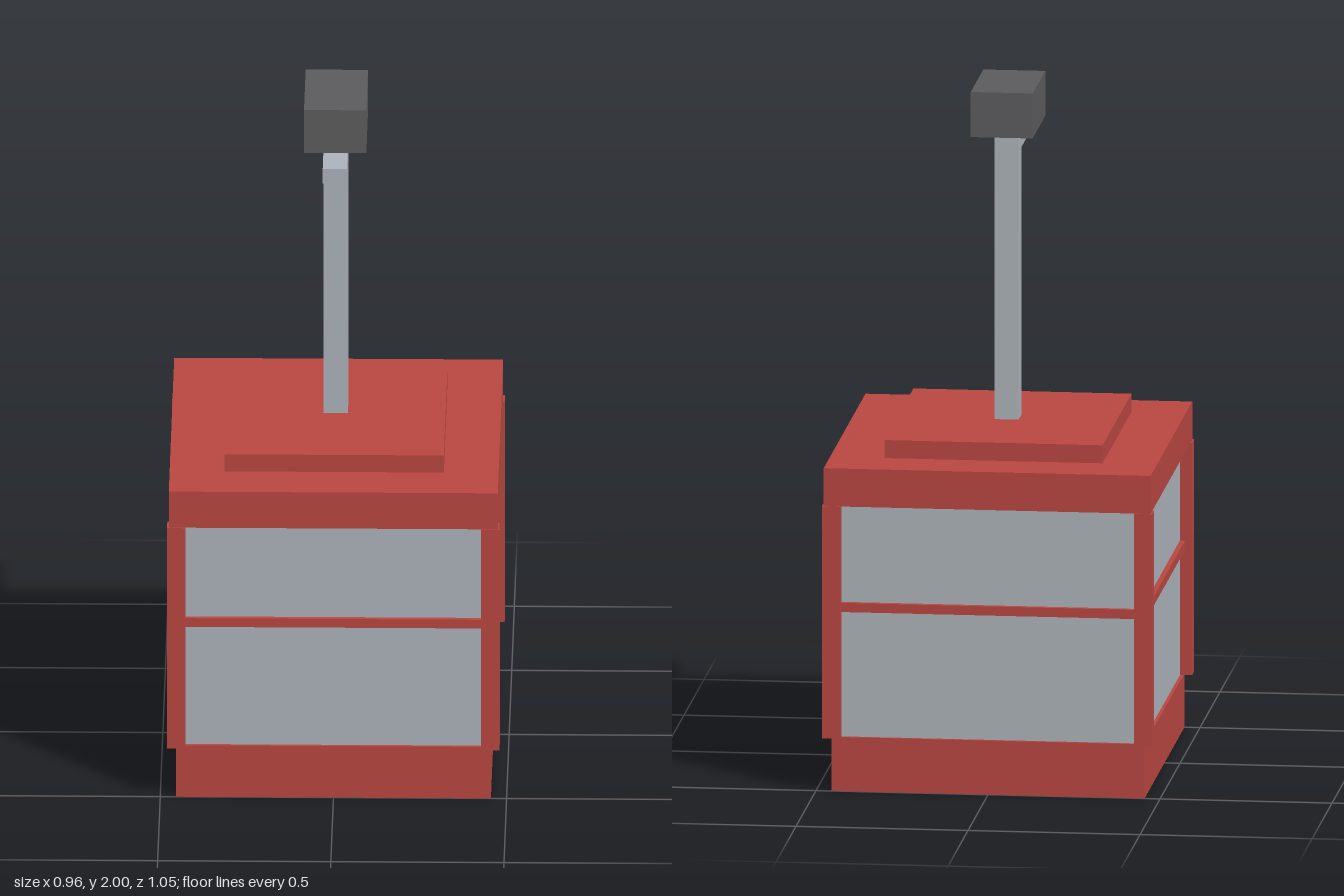
import * as THREE from 'three';

export function createModel() {
  const model = new THREE.Group();
  model.name = 'cableCarCabin';

  const mat = (name, color) => {
    const m = new THREE.MeshStandardMaterial({ color });
    m.name = name;
    return m;
  };
  const red = mat('red paint', 0xb94641);
  const grey = mat('pale grey', 0xacb3ba);
  const dark = mat('dark grey', 0x5c5c5e);

  // Box spanning y0..y1, with width w and depth d, centred on x, z
  const box = (name, material, w, d, y0, y1, x = 0, z = 0) => {
    const mesh = new THREE.Mesh(new THREE.BoxGeometry(w, y1 - y0, d), material);
    mesh.name = name;
    mesh.position.set(x, (y0 + y1) / 2, z);
    model.add(mesh);
    return mesh;
  };

  // Cabin body
  box('base', red, 0.91, 1.0, 0, 0.16);
  box('windows', grey, 0.89, 0.98, 0.16, 0.845);
  box('waistRail', red, 0.92, 1.01, 0.53, 0.557);
  box('roof', red, 0.95, 1.044, 0.845, 0.957);
  box('roofPlate', red, 0.634, 0.724, 0.957, 1.01);

  // Corner posts
  for (const x of [-1, 1]) {
    for (const z of [-1, 1]) {
      box('cornerPost', red, 0.053, 0.053, 0.16, 0.845, x * 0.4535, z * 0.5);
    }
  }

  // Hanger arm and cable grip
  box('hangerPole', grey, 0.07, 0.07, 1.01, 1.8);
  box('hangerArm', grey, 0.07, 0.263, 1.8, 1.845, 0, 0.0965);
  box('cableGrip', dark, 0.18, 0.316, 1.867, 2);

  return model;
}
